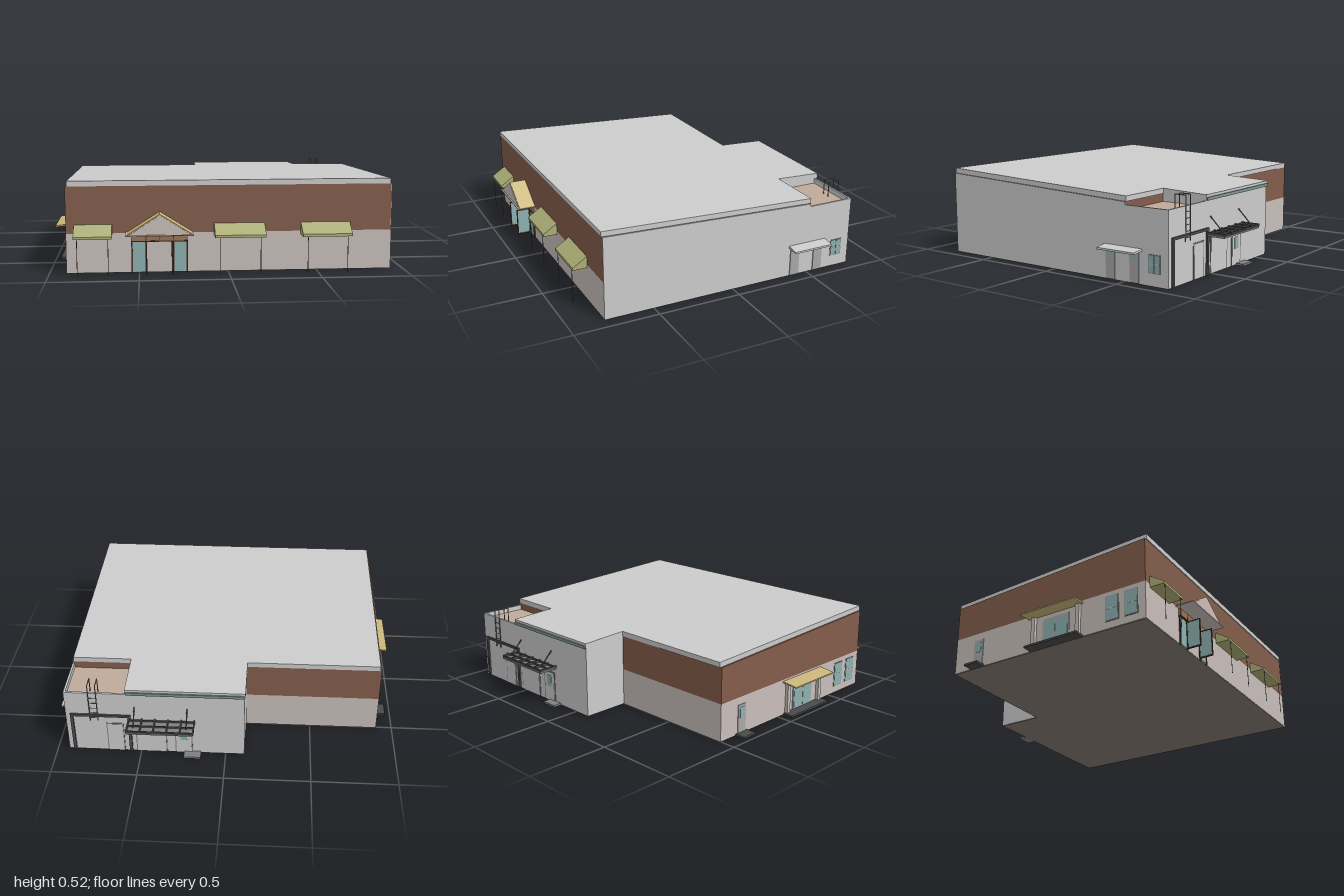
import * as THREE from 'three';

const mat = (color) => new THREE.MeshStandardMaterial({ color, flatShading: true });
const M = {
  grey: mat(0xcccccc), wall: mat(0xbfbfbf), beige: mat(0xc8beba), brown: mat(0x835d4b),
  olive: mat(0xacae76), tan: mat(0xc9b579), teal: mat(0x8cb0b0), terrace: mat(0xc0aa9a),
  dark: mat(0x4a4a4a), frame: mat(0x4a3322), door: mat(0xa8a8a8), timber: mat(0x9a7455),
  floor: mat(0x857a72), metal: mat(0x808080), gutter: mat(0x7f9590),
};

export function createModel() {
  const model = new THREE.Group();
  const add = (name, geo, m) => {
    const mesh = new THREE.Mesh(geo, m);
    mesh.name = name;
    model.add(mesh);
    return mesh;
  };
  // box given by its limits
  const box = (name, m, x0, x1, y0, y1, z0, z1) => {
    const g = new THREE.BoxGeometry(x1 - x0, y1 - y0, z1 - z0);
    g.translate((x0 + x1) / 2, (y0 + y1) / 2, (z0 + z1) / 2);
    return add(name, g, m);
  };
  const extrude = (pts, depth) => new THREE.ExtrudeGeometry(
    new THREE.Shape(pts.map(([a, b]) => new THREE.Vector2(a, b))), { depth, bevelEnabled: false });
  // profile of [z, y] points run along x
  const prismX = (name, m, pts, x0, x1) =>
    add(name, extrude(pts.map(([z, y]) => [-z, y]), x1 - x0).rotateY(Math.PI / 2).translate(x0, 0, 0), m);
  // profile of [x, y] points run along z
  const prismZ = (name, m, pts, z0, z1) => add(name, extrude(pts, z1 - z0).translate(0, 0, z0), m);
  // round bar between two points
  const bar = (name, m, a, b, r = 0.003) => {
    const A = new THREE.Vector3(...a), B = new THREE.Vector3(...b);
    const mesh = add(name, new THREE.CylinderGeometry(r, r, A.distanceTo(B), 6), m);
    mesh.position.copy(A).lerp(B, 0.5);
    mesh.quaternion.setFromUnitVectors(new THREE.Vector3(0, 1, 0), B.sub(A).normalize());
  };

  const L = -0.905, R = 0.93, F = 0.795, MID = -0.505, B = -0.79, WL = -0.11, WR = 0.57, SILL = 0.225;
  const top = (z) => 0.52 - (0.8 - z) * 0.041;
  const under = (z) => top(z) - 0.03;
  const sloped = (y0, z0, z1) => [[z0, y0], [z1, y0], [z1, under(z1)], [z0, under(z0)]];

  // Main hall, its side wall and the rear wing
  box('floorSlab', M.floor, L + 0.002, R - 0.002, 0, 0.004, MID, F - 0.002);
  box('floorSlabRear', M.floor, WL + 0.002, R - 0.002, 0, 0.004, B + 0.002, MID);
  box('lowerWalls', M.beige, L, R - 0.004, 0.004, SILL, MID, F);
  prismX('upperWalls', M.brown, sloped(SILL, MID, F), L, R - 0.004);
  box('sideWallLower', M.wall, R - 0.004, R, 0.004, SILL, MID, F);
  prismX('sideWallUpper', M.grey, sloped(SILL, MID, F), R - 0.004, R);
  prismX('rearWing', M.wall, sloped(0.004, B, MID), WL, WR);

  // Sloping roof slabs and rear gutter
  const slab = (z0, z1) => [[z0, under(z0)], [z1, under(z1)], [z1, top(z1)], [z0, top(z0)]];
  prismX('mainRoof', M.grey, slab(MID - 0.005, F + 0.005), L + 0.01, R - 0.01);
  prismX('wingRoof', M.grey, slab(B - 0.005, MID - 0.005), WL - 0.005, WR + 0.005);
  box('gutter', M.gutter, WL, WR, 0.422, 0.44, B - 0.012, B - 0.004);

  // Low annex with terrace roof and parapet
  box('annex', M.wall, WR, R, 0.004, 0.385, B, MID);
  box('terrace', M.terrace, WR, R - 0.012, 0.385, 0.39, B + 0.012, MID);
  box('parapetBack', M.wall, WR, R, 0.385, 0.42, B, B + 0.012);
  box('parapetSide', M.wall, R - 0.012, R, 0.385, 0.42, B + 0.012, MID);

  // Front awnings on thin posts
  for (const [x0, x1, p0, p1] of [[-0.86, -0.65, -0.84, -0.67], [-0.08, 0.205, -0.05, 0.175], [0.41, 0.69, 0.44, 0.665]]) {
    prismX('awning', M.olive, [[F, 0.205], [0.88, 0.205], [0.88, 0.22], [F, 0.275]], x0, x1);
    for (const x of [p0, p1]) bar('awningPost', M.dark, [x, 0, 0.876], [x, 0.205, 0.876], 0.002);
  }

  // Entrance: gable, beams, glazing and two open doors
  const gx = -0.385;
  prismZ('gable', M.beige, [[gx - 0.17, 0.23], [gx + 0.17, 0.23], [gx, 0.338]], F, 0.897);
  for (const s of [-1, 1]) {
    prismZ('gableRoof', M.tan, [[gx, 0.338], [gx, 0.345], [gx + s * 0.182, 0.23], [gx + s * 0.171, 0.23]], F, 0.895);
    box('sideGlazing', M.teal, ...(s < 0 ? [-0.54, -0.465] : [-0.31, -0.235]), 0.006, 0.175, F, 0.8);
    for (const x of s < 0 ? [-0.54, -0.462] : [-0.308, -0.232])
      box('doorPost', M.frame, x - 0.004, x + 0.004, 0, 0.18, F, 0.803);
    const dx = s < 0 ? -0.46 : -0.315;
    box('openDoorGlass', M.teal, dx - 0.003, dx + 0.003, 0.014, 0.168, 0.803, 0.878);
    for (const z of [0.8, 0.878]) box('openDoorStile', M.frame, dx - 0.004, dx + 0.004, 0.006, 0.175, z, z + 0.006);
    for (const y of [0.006, 0.168]) box('openDoorRail', M.frame, dx - 0.004, dx + 0.004, y, y + 0.007, 0.8, 0.884);
  }
  box('gableEave', M.beige, -0.575, -0.2, 0.224, 0.23, F, 0.905);
  box('entranceBeam', M.timber, -0.545, -0.23, 0.182, 0.222, F, 0.808);
  box('beamTrim', M.frame, -0.545, -0.23, 0.176, 0.182, F, 0.81);
  for (const x of [-0.462, -0.385, -0.308]) box('beamDivider', M.frame, x - 0.002, x + 0.002, 0.182, 0.222, F, 0.81);

  // Framed opening on a side wall (dir = outward x direction)
  const sideBox = (name, m, dir, x, depth, y0, y1, z0, z1) =>
    box(name, m, Math.min(x, x + dir * depth), Math.max(x, x + dir * depth), y0, y1, z0, z1);
  const sideWindow = (dir, x, y0, y1, z0, z1) => {
    sideBox('windowFrame', M.metal, dir, x, 0.002, y0 - 0.004, y1 + 0.004, z0 - 0.004, z1 + 0.004);
    sideBox('windowPane', M.teal, dir, x, 0.004, y0, y1, z0, z1);
    sideBox('windowBar', M.grey, dir, x, 0.005, (y0 + y1) / 2 - 0.002, (y0 + y1) / 2 + 0.002, z0, z1);
  };

  // Right side: tan canopy, steps, doors and windows
  prismZ('sideCanopy', M.tan, [[L, 0.205], [L, 0.215], [-1, 0.203], [-1, 0.195]], 0.035, 0.4);
  box('canopyStep', M.dark, -0.97, L, 0, 0.012, 0.05, 0.4);
  box('smallStep', M.dark, -0.97, L, 0, 0.012, -0.38, -0.285);
  for (const z of [0.06, 0.36]) sideBox('canopyPier', M.beige, -1, L, 0.02, 0.012, 0.208, z, z + 0.025);
  sideBox('canopyDoors', M.door, -1, L, 0.004, 0.012, 0.18, 0.13, 0.31);
  for (const z of [0.14, 0.225]) sideBox('doorGlass', M.teal, -1, L, 0.006, 0.02, 0.17, z, z + 0.075);
  sideBox('sideDoor', M.door, -1, L, 0.004, 0.012, 0.18, -0.365, -0.3);
  sideBox('sideDoorGlass', M.teal, -1, L, 0.006, 0.1, 0.165, -0.35, -0.315);
  for (const z of [0.55, 0.67]) sideWindow(-1, L, 0.05, 0.195, z, z + 0.075);

  // Left side: grey canopy above two doors, and a double window
  prismZ('greyCanopy', M.grey, [[R, 0.182], [R, 0.195], [1, 0.185], [1, 0.174]], -0.62, -0.37);
  for (const z of [-0.44, -0.6]) {
    sideBox('door', M.door, 1, R, 0.005, 0.004, 0.175, z, z + 0.06);
    sideBox('doorWindow', M.teal, 1, R, 0.007, 0.14, 0.17, z + 0.008, z + 0.052);
  }
  for (const z of [-0.735, -0.698]) sideWindow(1, R, 0.075, 0.17, z, z + 0.032);

  // Rear doors
  const rear = (name, m, x0, x1, y0, y1, d) => box(name, m, x0, x1, y0, y1, B - d, B);
  for (const x of [0.55, 0.885]) rear('loadingFrame', M.dark, x, x + 0.018, 0.004, 0.27, 0.01);
  rear('loadingFrameTop', M.dark, 0.55, 0.903, 0.255, 0.27, 0.01);
  for (const [x0, x1, h] of [[0.6, 0.69, 0.2], [0.35, 0.52, 0.23], [0.2, 0.29, 0.19]]) {
    rear('rearDoorFrame', M.metal, x0 - 0.006, x1 + 0.006, 0.004, h + 0.006, 0.003);
    rear('rearDoor', M.wall, x0, x1, 0.004, h, 0.005);
  }
  rear('rearDoorGlass', M.teal, 0.225, 0.265, 0.1, 0.17, 0.007);
  box('rearStep', M.metal, 0.145, 0.245, 0, 0.012, -0.845, B);

  // Ribbed rear canopy with tie bars
  box('rearCanopy', M.metal, 0.18, 0.565, 0.222, 0.232, -0.905, B);
  for (let i = 0; i < 6; i++) {
    const x = 0.18 + i * 0.0765;
    box('canopyRib', M.dark, x - 0.004, x + 0.004, 0.232, 0.247, -0.905, B);
  }
  for (const z of [-0.9, -0.85, -0.8]) box('canopyRail', M.dark, 0.18, 0.565, 0.234, 0.244, z - 0.003, z + 0.003);
  for (const x of [0.22, 0.525]) bar('tieBar', M.dark, [x, 0.33, B], [x, 0.245, -0.875], 0.004);

  // Roof ladder hooked over the parapet
  for (const x of [0.74, 0.785]) {
    bar('ladderRail', M.metal, [x, 0.23, -0.8], [x, 0.48, -0.8]);
    bar('ladderHook', M.metal, [x, 0.48, -0.8], [x, 0.48, -0.73]);
    bar('ladderHandle', M.metal, [x, 0.39, -0.73], [x, 0.48, -0.73]);
  }
  for (let y = 0.25; y < 0.42; y += 0.035) bar('ladderRung', M.metal, [0.74, y, -0.8], [0.785, y, -0.8], 0.002);
  return model;
}
